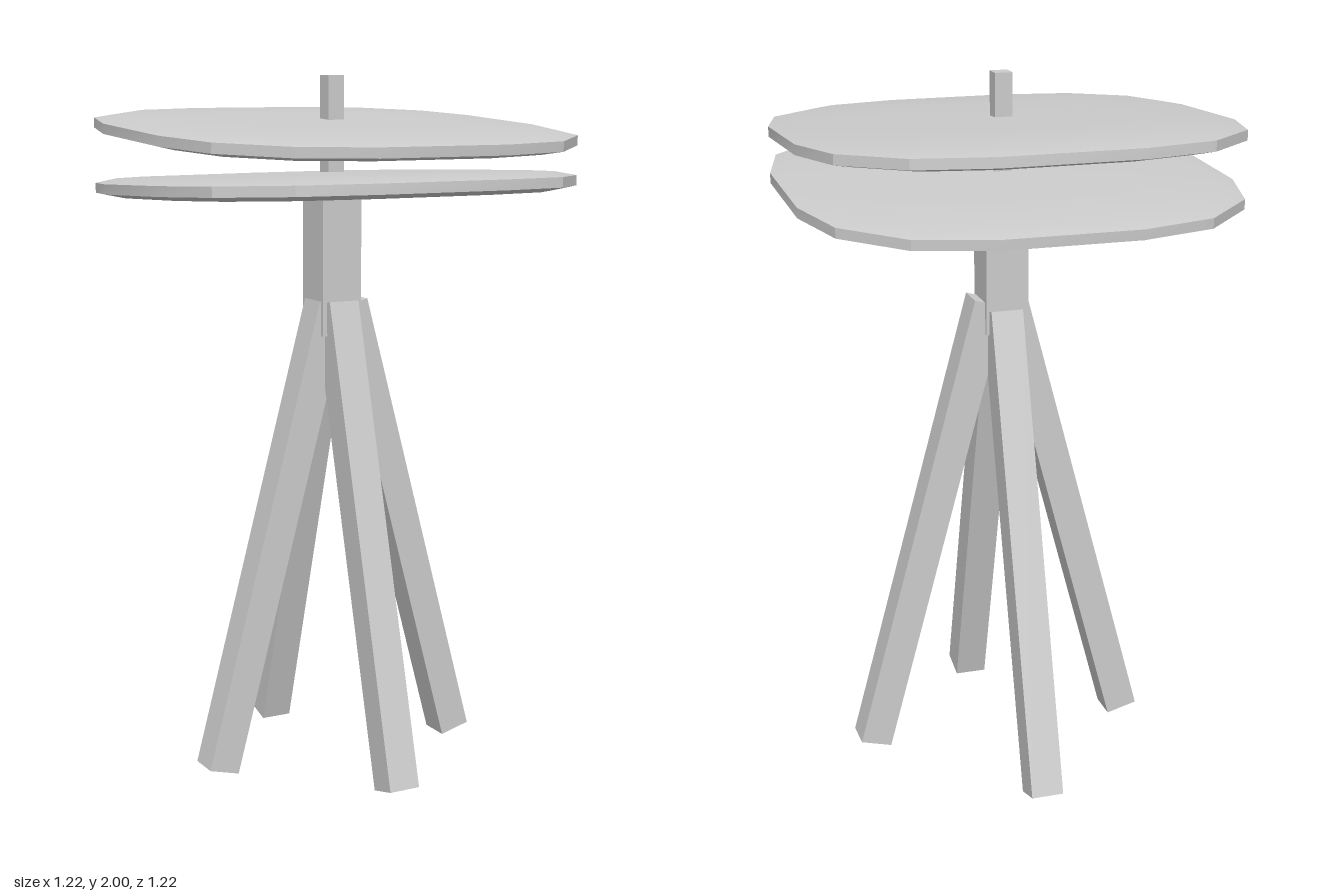
import * as THREE from 'three';
import { toCreasedNormals } from 'three/addons/utils/BufferGeometryUtils.js';

const material = new THREE.MeshStandardMaterial({ color: 0xcccccc });

function addMesh(group, name, geometry, x, y, z) {
  const mesh = new THREE.Mesh(geometry, material);
  mesh.name = name;
  mesh.position.set(x, y, z);
  group.add(mesh);
  return mesh;
}

// Rounded-square lens: one 16-point outline, scaled through a stack of rings
function discGeometry() {
  const quarter = [[0.61, 0.19], [0.555, 0.4], [0.4, 0.555], [0.19, 0.61]];
  const outline = [];
  for (let q = 0; q < 4; q++) {
    for (const [x, z] of quarter) {
      outline.push([[x, z], [-z, x], [-x, -z], [z, -x]][q]);
    }
  }
  const rings = [[0, 0.034], [0.5, 0.032], [0.91, 0.026], [1, 0.014],
    [1, -0.014], [0.91, -0.026], [0.5, -0.032], [0, -0.034]];
  const point = (k, i) => {
    const [x, z] = outline[i % outline.length];
    return [x * rings[k][0], rings[k][1], z * rings[k][0]];
  };
  const positions = [];
  for (let k = 0; k < rings.length - 1; k++) {
    for (let i = 0; i < outline.length; i++) {
      const a = point(k, i), b = point(k, i + 1);
      const c = point(k + 1, i), d = point(k + 1, i + 1);
      if (k < rings.length - 2) positions.push(...a, ...d, ...c);
      if (k > 0) positions.push(...a, ...b, ...d);
    }
  }
  const geometry = new THREE.BufferGeometry();
  geometry.setAttribute('position', new THREE.Float32BufferAttribute(positions, 3));
  return toCreasedNormals(geometry, 0.4);
}

export function createModel() {
  const model = new THREE.Group();
  model.name = 'twoDiscStand';

  // Two plates tilted in opposite directions
  const disc = discGeometry();
  addMesh(model, 'upperDisc', disc, 0, 1.845, 0).rotation.x = 0.055;
  addMesh(model, 'lowerDisc', disc, 0, 1.698, 0).rotation.x = -0.04;

  // Thin rod through the plates, thick post below
  addMesh(model, 'rod', new THREE.BoxGeometry(0.05, 0.35, 0.05), 0, 1.825, 0);
  addMesh(model, 'post', new THREE.BoxGeometry(0.122, 0.41, 0.122), 0, 1.48, 0);

  // Four splayed legs; the back one leans slightly more
  const leg = new THREE.BoxGeometry(0.092, 1.377, 0.092);
  const deg = THREE.MathUtils.degToRad;
  addMesh(model, 'leftLeg', leg, 0.224, 0.697, -0.001).rotation.z = deg(15);
  addMesh(model, 'rightLeg', leg, -0.197, 0.697, 0.001).rotation.z = deg(-15);
  addMesh(model, 'frontLeg', leg, -0.002, 0.697, 0.21).rotation.x = deg(-15);
  addMesh(model, 'backLeg', leg, 0.007, 0.675, -0.234).rotation.x = deg(16.6);

  return model;
}
